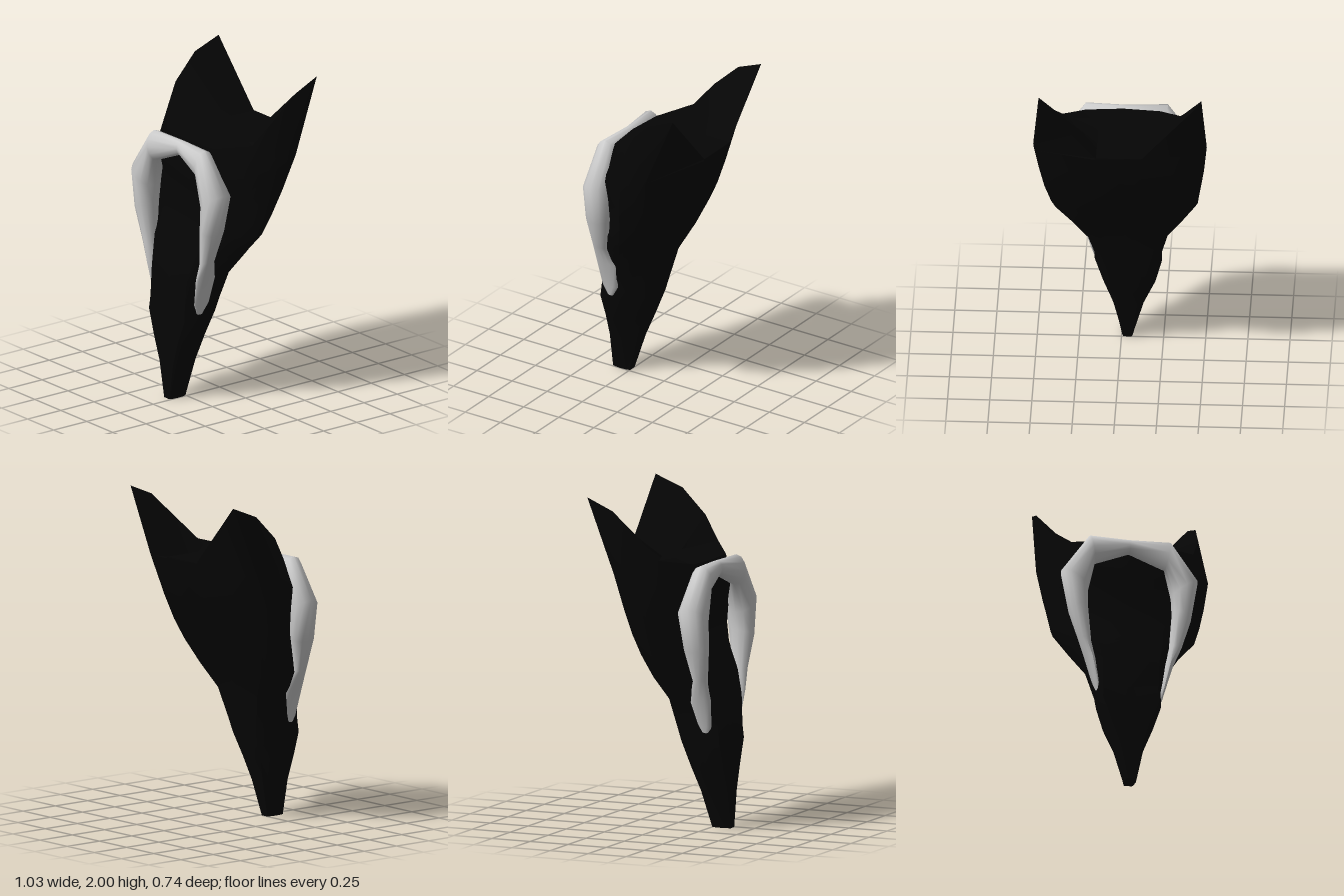
import * as THREE from 'three';
import { toCreasedNormals } from 'three/addons/utils/BufferGeometryUtils.js';

const V = (x, y, z) => new THREE.Vector3(x, y, z);
const lerp = THREE.MathUtils.lerp;

// Skin a stack of closed rings; rings run counter-clockwise seen from the far end
function loft(rings, crease) {
  const pos = [], n = rings[0].length;
  const tri = (a, b, c) => {
    if (new THREE.Triangle(a, b, c).getArea() < 1e-7) return;
    for (const p of [a, b, c]) pos.push(p.x, p.y, p.z);
  };
  for (let i = 0; i < rings.length - 1; i++) {
    for (let j = 0; j < n; j++) {
      const k = (j + 1) % n, lo = rings[i], hi = rings[i + 1];
      // mirror the diagonals so both halves match
      if (j < n / 2) {
        tri(lo[j], lo[k], hi[k]);
        tri(lo[j], hi[k], hi[j]);
      } else {
        tri(lo[j], lo[k], hi[j]);
        tri(lo[k], hi[k], hi[j]);
      }
    }
  }
  const g = new THREE.BufferGeometry();
  g.setAttribute('position', new THREE.Float32BufferAttribute(pos, 3));
  return toCreasedNormals(g, crease);
}

const collapse = (ring) => {
  const c = ring.reduce((s, p) => s.add(p), V(0, 0, 0)).divideScalar(ring.length);
  return ring.map(() => c.clone());
};

// Half a ring from front centre to back centre, mirrored and shifted by cx
const mirrorRing = (half, cx) => [
  ...half.map((p) => V(p.x + cx, p.y, p.z)),
  ...half.slice(1, -1).reverse().map((p) => V(cx - p.x, p.y, p.z)),
];

// Section: front and back heights, shift, front depth and half width,
// widest half width and depth, back corner half width and depth, back centre depth
function bodyRing([yf, yb, cx, zf, xf, w, zw, xb, zb, zc]) {
  const half = [
    [0, zf], [xf, zf], [lerp(xf, w, 0.65), lerp(zf, zw, 0.38)], [w, zw],
    [lerp(w, xb, 0.35), lerp(zw, zb, 0.6)], [xb, zb], [xb * 0.28, zc], [0, zc],
  ].map(([x, z]) => V(x, lerp(yf, yb, (zf - z) / (zf - zc)), z));
  return mirrorRing(half, cx);
}

function bodyGeometry() {
  const rings = [
    [0, 0, -0.035, 0.37, 0.025, 0.035, 0.31, 0.025, 0.25, 0.25],
    [0.22, 0.22, -0.04, 0.37, 0.065, 0.09, 0.28, 0.05, 0.19, 0.19],
    [0.37, 0.37, -0.045, 0.37, 0.115, 0.155, 0.28, 0.08, 0.14, 0.13],
    [0.52, 0.52, -0.04, 0.367, 0.17, 0.2, 0.28, 0.11, 0.09, 0.08],
    [0.6, 0.6, -0.04, 0.36, 0.165, 0.2, 0.24, 0.13, 0.075, 0.065],
    [0.78, 0.78, -0.035, 0.35, 0.17, 0.25, 0.18, 0.18, 0.04, 0.03],
    [0.92, 0.92, -0.035, 0.31, 0.2, 0.335, 0.12, 0.28, -0.015, -0.04],
    [1.06, 1.06, -0.025, 0.25, 0.2, 0.435, 0.05, 0.355, -0.065, -0.11],
    [1.18, 1.18, -0.015, 0.22, 0.22, 0.463, 0.02, 0.38, -0.115, -0.175],
    [1.32, 1.32, -0.01, 0.22, 0.24, 0.49, 0, 0.427, -0.145, -0.27],
    [1.42, 1.61, -0.003, 0.25, 0.24, 0.515, -0.03, 0.493, -0.19, -0.37],
  ].map(bodyRing);
  // Upper rim, climbing from the front to the two rear points
  const rim = [
    [0, 1.6, 0.23], [0.22, 1.6, 0.21], [0.41, 1.64, 0.07], [0.465, 1.78, -0.04],
    [0.483, 1.93, -0.2], [0.472, 2, -0.37], [0.135, 1.62, -0.37], [0, 1.62, -0.37],
  ].map((p) => V(...p));
  // Trough between the points: flat floor, then its centre line
  const floor = rim.map((p) => V(Math.min(p.x, 0.135), Math.min(p.y, 1.62), p.z));
  const centre = floor.map((p) => V(0, p.y, p.z));
  rings.push(...[rim, floor, centre].map((h) => mirrorRing(h, -0.01)));
  return loft([collapse(rings[0]), ...rings], 0.7);
}

// Arched band: outer x, y, inner x, y, then depth and half thickness in depth
function collarGeometry() {
  const side = [
    [0.195, 0.56, 0.18, 0.57, 0.275, 0.02],
    [0.215, 0.63, 0.185, 0.63, 0.27, 0.055],
    [0.265, 0.8, 0.21, 0.79, 0.27, 0.07],
    [0.315, 0.92, 0.235, 0.9, 0.288, 0.046],
    [0.37, 1.1, 0.255, 1.14, 0.28, 0.08],
    [0.415, 1.36, 0.25, 1.25, 0.268, 0.094],
    [0.245, 1.6, 0.212, 1.42, 0.277, 0.068],
  ];
  const path = [...side, [0, 1.6, 0, 1.51, 0.265, 0.038],
    ...side.map(([ox, oy, ix, ...r]) => [-ox, oy, -ix, ...r]).reverse()];
  const sides = 12;
  const rings = path.map(([ox, oy, ix, iy, z, rz]) =>
    Array.from({ length: sides }, (_, j) => {
      const q = (j / sides) * Math.PI * 2, s = (Math.sin(q) + 1) / 2;
      return V(lerp(ix, ox, s) - 0.03, lerp(iy, oy, s), z + Math.cos(q) * rz);
    }));
  return loft([collapse(rings[0]), ...rings, collapse(rings[rings.length - 1])], 1.1);
}

export function createModel() {
  const group = new THREE.Group();
  const add = (name, geometry, color) => {
    const mesh = new THREE.Mesh(geometry, new THREE.MeshStandardMaterial({ color }));
    mesh.name = name;
    group.add(mesh);
  };
  add('body', bodyGeometry(), 0x050505);
  add('collar', collarGeometry(), 0xcccccc);
  return group;
}
